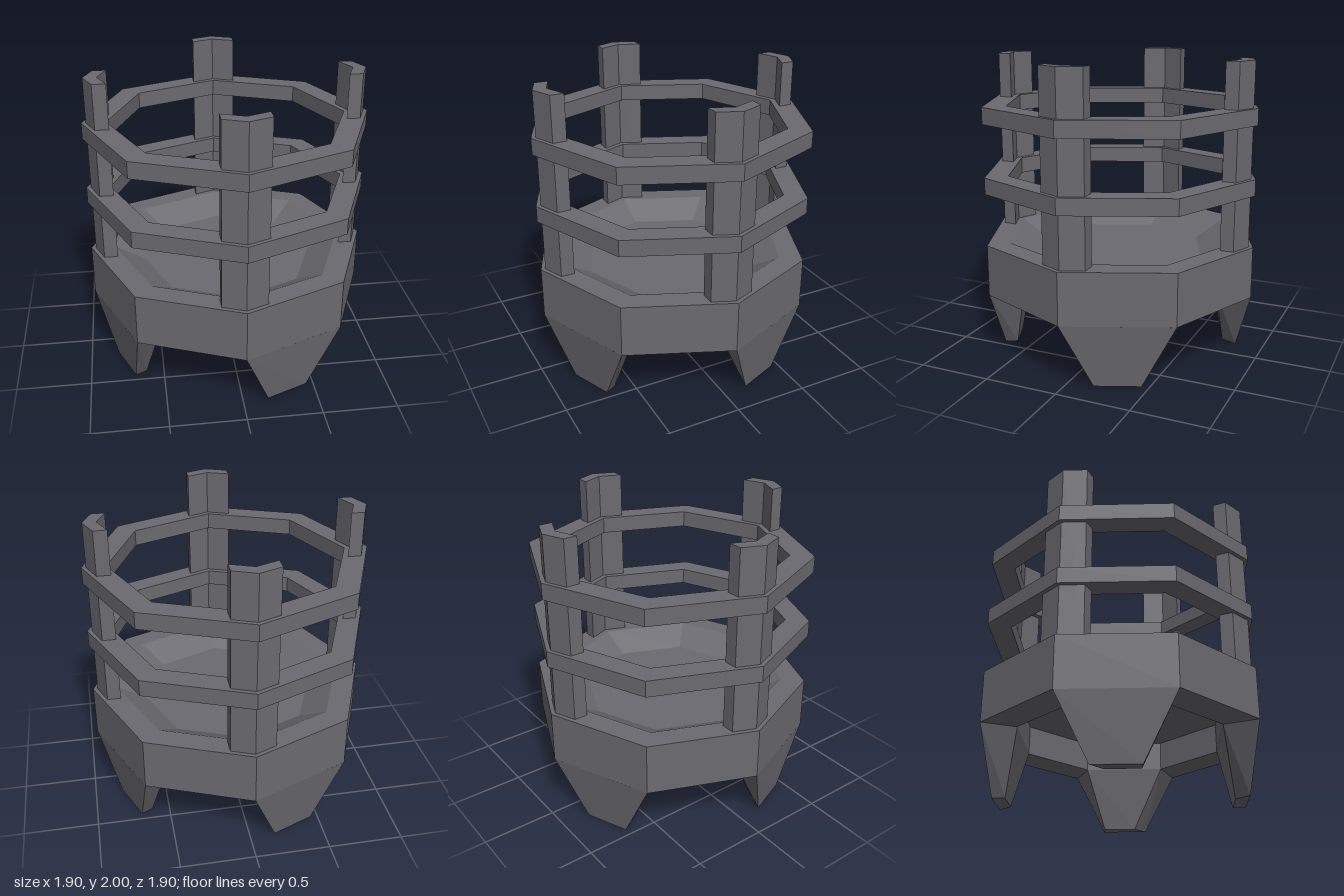
import * as THREE from 'three';
import { ConvexGeometry } from 'three/addons/geometries/ConvexGeometry.js';

const material = new THREE.MeshStandardMaterial({ color: 0x6a6a70, flatShading: true });

// Octagonal ring or bowl from a [radius, height] profile, corners on the x and z axes
function octagon(profile) {
  return new THREE.LatheGeometry(profile.map(([r, y]) => new THREE.Vector2(r, y)), 8);
}

export function createModel() {
  const model = new THREE.Group();
  const add = (name, geometry, turn = 0) => {
    const mesh = new THREE.Mesh(geometry, material);
    mesh.name = name;
    mesh.rotation.y = turn;
    model.add(mesh);
  };

  // Shallow bowl on top, recessed underneath
  add('basin', octagon([
    [0, 0.63], [0.71, 0.63], [0.71, 0.43], [0.95, 0.43],
    [0.95, 0.78], [0.79, 0.78], [0.59, 0.67], [0, 0.67],
  ]));

  // Two hoops around the posts
  [['lowerHoop', 1.13], ['upperHoop', 1.59]].forEach(([name, y]) => {
    const top = y + 0.11;
    add(name, octagon([[0.79, y], [0.95, y], [0.95, top], [0.79, top], [0.79, y]]));
  });

  // Chevron-section post following an octagon corner
  const section = new THREE.Shape([
    [0, 0.92], [-0.147, 0.86], [-0.147, 0.77], [0, 0.83], [0.147, 0.77], [0.147, 0.86],
  ].map(([x, y]) => new THREE.Vector2(x, y)));
  const post = new THREE.ExtrudeGeometry(section, { depth: 1.23, bevelEnabled: false });
  post.rotateX(-Math.PI / 2).translate(0, 0.77, 0);

  // Tapered leg under every other side of the octagon
  const corners = (y, points) => points.map(([x, z]) => new THREE.Vector3(x, y, z));
  const leg = new ConvexGeometry([
    ...corners(0.43, [[0, 0.95], [0.672, 0.672], [0.502, 0.502], [0, 0.71]]),
    ...corners(0, [[0.17, 0.81], [0.45, 0.695], [0.41, 0.62], [0.21, 0.7]]),
  ]);

  for (let i = 0; i < 4; i++) {
    add('post', post, i * Math.PI / 2);
    add('leg', leg, i * Math.PI / 2);
  }
  return model;
}
